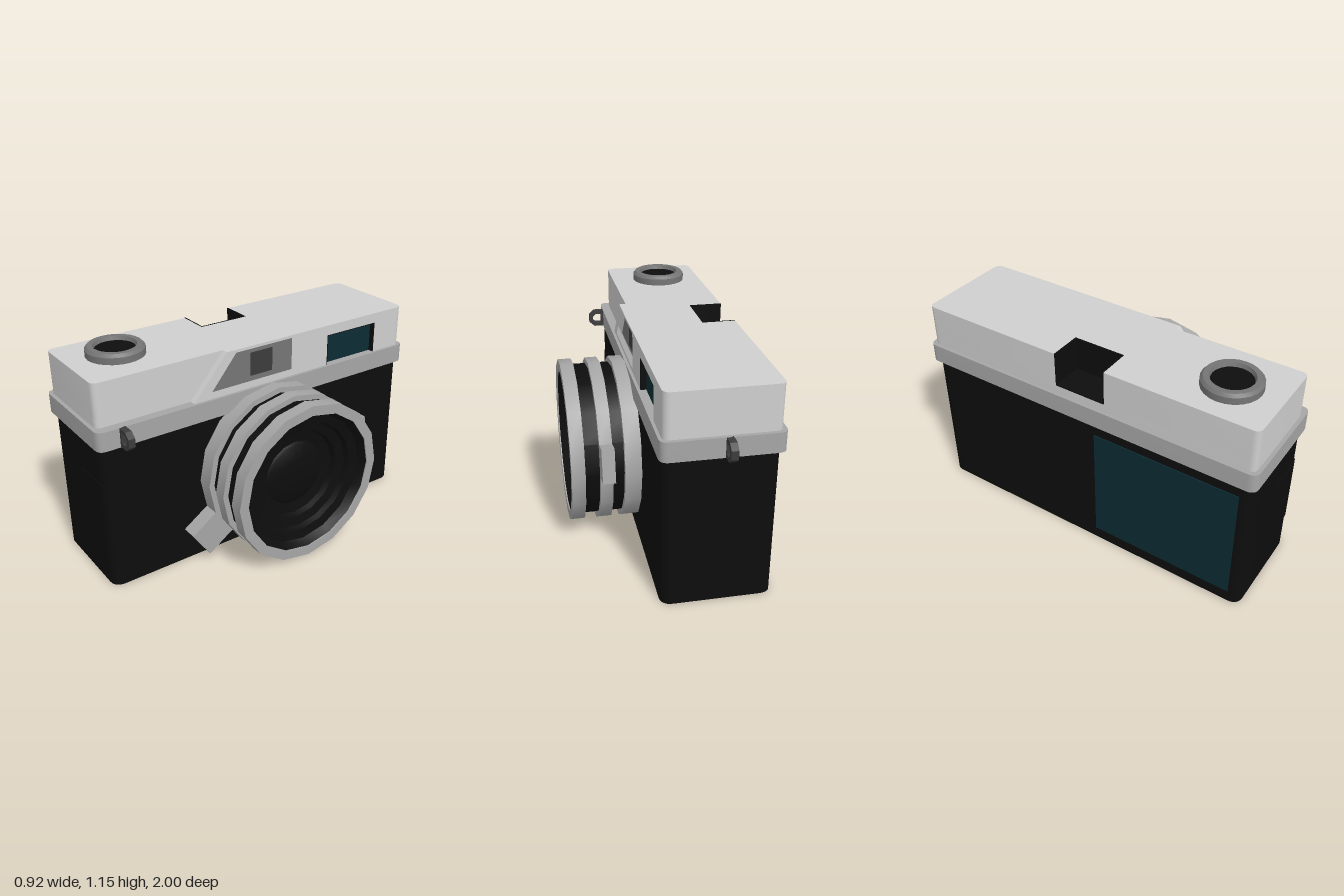
import * as THREE from 'three';
import { toCreasedNormals } from 'three/addons/utils/BufferGeometryUtils.js';

const material = (name, color, side = THREE.FrontSide) => {
  const m = new THREE.MeshStandardMaterial({ color, side });
  m.name = name;
  return m;
};

// Closed shape from [x, y, cornerRadius] points
function roundedShape(points, Type = THREE.Shape) {
  const s = new Type();
  const n = points.length;
  points.forEach(([x, y, r = 0], i) => {
    const toward = ([px, py]) => {
      const d = Math.hypot(px - x, py - y);
      return [x + ((px - x) / d) * r, y + ((py - y) / d) * r];
    };
    const a = toward(points[(i + n - 1) % n]);
    const b = toward(points[(i + 1) % n]);
    if (i === 0) s.moveTo(...a); else s.lineTo(...a);
    if (r) s.quadraticCurveTo(x, y, ...b);
  });
  s.closePath();
  return s;
}

const extrude = (shape, depth) =>
  new THREE.ExtrudeGeometry(shape, { depth, bevelEnabled: false, curveSegments: 6 });

// Plan outline given as [x, z, radius], raised from y0 to y1
function plan(points, y0, y1) {
  const shape = roundedShape(points.map(([x, z, r]) => [x, -z, r]));
  const g = extrude(shape, y1 - y0).rotateX(-Math.PI / 2).translate(0, y0, 0);
  return toCreasedNormals(g, 0.6);
}

// Front elevation given as [z, y], thickened from x0 to x1
function elevation(points, x0, x1, holes = []) {
  const flip = (list) => list.map(([z, y, r]) => [-z, y, r]);
  const shape = roundedShape(flip(points));
  holes.forEach((h) => shape.holes.push(roundedShape(flip(h), THREE.Path)));
  return extrude(shape, x1 - x0).rotateY(Math.PI / 2).translate(x0, 0, 0);
}

const rect = (x0, x1, z0, z1, r) => [[x0, z1, r], [x1, z1, r], [x1, z0, r], [x0, z0, r]];

const boxSpan = (x0, x1, y0, y1, z0, z1) =>
  new THREE.BoxGeometry(x1 - x0, y1 - y0, z1 - z0)
    .translate((x0 + x1) / 2, (y0 + y1) / 2, (z0 + z1) / 2);

const lathe = (points, sides) =>
  toCreasedNormals(new THREE.LatheGeometry(points.map((p) => new THREE.Vector2(...p)), sides), 0.6);

export function createModel() {
  const silver = material('light silver', 0xcfcfcf);
  const metal = material('grey metal', 0xa6a6a6);
  const grey = material('mid grey', 0x757575, THREE.DoubleSide);
  const dark = material('dark grey', 0x3c3c3c);
  const black = material('black', 0x0d0d0d, THREE.DoubleSide);
  const glass = material('dark teal glass', 0x0c2c33);

  const group = new THREE.Group();
  const add = (name, geometry, mat, parent = group) => {
    const mesh = new THREE.Mesh(geometry, mat);
    mesh.name = name;
    parent.add(mesh);
    return mesh;
  };

  // Body, trim band and corner grip
  add('body', plan(rect(-0.44, 0.105, -0.9, 0.98, 0.06), 0, 0.79), black);
  add('trimBand', plan(rect(-0.46, 0.12, -0.92, 1.0, 0.045), 0.78, 0.88), metal);
  add('cornerGrip', plan([[-0.15, 0.984], [0.109, 0.984, 0.06], [0.109, 0.7], [0.05, 0.7],
    [0.05, 0.93], [-0.15, 0.93]], 0.21, 0.58), black);
  add('rearScreen', boxSpan(-0.445, -0.438, 0.07, 0.71, 0.13, 0.92), glass);

  // Top housing with a notch cut in the rear edge
  const top = 1.105, floor = 0.925;
  const corners = [[-0.44, 0.98, 0.035], [0.07, 0.98, 0.035], [0.07, -0.9], [-0.44, -0.9, 0.035]];
  const notch = [[-0.44, -0.09], [-0.27, -0.09], [-0.27, 0.19], [-0.44, 0.19]];
  add('housingLower', plan(corners, 0.88, floor), silver);
  add('housingUpper', plan([...corners, ...notch], floor, top), silver);
  add('notchFloor', boxSpan(-0.442, -0.27, floor - 0.002, floor + 0.004, -0.09, 0.19), black);
  add('notchFront', boxSpan(-0.275, -0.268, floor, top + 0.001, -0.09, 0.19), black);
  for (const z of [-0.088, 0.188]) {
    add('notchSide', boxSpan(-0.441, -0.27, floor, top + 0.001, z - 0.003, z + 0.003), black);
  }

  // Raised front panel with a slanted end and two recesses
  const recess = [[0.385, 0.9], [0.225, 1.09], [-0.145, 1.09], [-0.145, 0.9]];
  add('frontPanel', elevation([[0.475, 0.88], [0.28, top], [-0.865, top], [-0.865, 0.88],
    [-0.7, 0.88], [-0.7, 1.05], [-0.36, 1.05], [-0.36, 0.88]], 0.07, 0.105, [recess]), silver);
  add('frontPanelCorner', new THREE.CylinderGeometry(0.035, 0.035, top - 0.88, 8, 1, false,
    Math.PI / 2, Math.PI / 2).translate(0.07, (top + 0.88) / 2, -0.865), silver);
  add('viewfinderRecess', elevation(recess, 0.069, 0.074), grey);
  add('viewfinderWindow', boxSpan(0.072, 0.078, 0.93, 1.055, -0.015, 0.12), dark);
  add('flashGlass', boxSpan(0.069, 0.075, 0.88, 1.05, -0.7, -0.36), glass);
  add('flashFrameTop', boxSpan(0.07, 0.104, 1.046, 1.051, -0.7, -0.36), black);
  for (const z of [-0.698, -0.362]) {
    add('flashFrameSide', boxSpan(0.07, 0.104, 0.88, 1.05, z - 0.003, z + 0.003), black);
  }

  // Shutter button
  const button = new THREE.Group();
  button.name = 'shutterButton';
  button.position.set(-0.2, top, 0.725);
  add('buttonRim', lathe([[0.148, 0], [0.148, 0.035], [0.135, 0.05], [0.108, 0.05], [0.1, 0.025]], 24),
    grey, button);
  add('buttonCap', new THREE.CylinderGeometry(0.102, 0.102, 0.03, 24).translate(0, 0.015, 0), black, button);
  group.add(button);

  // Lens, turned about its own axis and laid along +x
  const lens = new THREE.Group();
  lens.name = 'lens';
  lens.position.set(0, 0.442, 0.02);
  lens.rotation.z = -Math.PI / 2;
  add('lensBarrel', lathe([[0.408, 0.1], [0.408, 0.42], [0.386, 0.455], [0.36, 0.41], [0.31, 0.4],
    [0.3, 0.37], [0.25, 0.36], [0.24, 0.33], [0.18, 0.32], [0.165, 0.33], [0.09, 0.345], [0, 0.35]], 16),
  black, lens);
  for (const [name, x0, x1] of [['rearRing', 0.1, 0.19], ['focusRing', 0.25, 0.315], ['frontRing', 0.39, 0.46]]) {
    add(name, lathe([[0.385, x0], [0.438, x0], [0.438, x1], [0.385, x1], [0.385, x0]], 16), metal, lens);
  }
  group.add(lens);

  // Levers that stick out from the lens rings: outer end, angle, depth span
  for (const [name, reach, angle, x0, x1] of [
    ['apertureLever', 0.595, -0.588, 0.105, 0.19],
    ['focusLever', 0.512, Math.PI - 0.187, 0.25, 0.315]]) {
    const lever = add(name, boxSpan(x0, x1, -0.088, 0.088, 0.4, reach), metal);
    lever.position.set(0, 0.442, 0.02);
    lever.rotation.x = -angle;
  }

  // Strap lugs
  const lugShape = roundedShape([[0, -0.048], [0.06, -0.048], [0.09, -0.022], [0.09, 0.022],
    [0.06, 0.048], [0, 0.048]]);
  lugShape.holes.push(roundedShape([[0.018, -0.027], [0.018, 0.027], [0.052, 0.027],
    [0.068, 0.014], [0.068, -0.014], [0.052, -0.027]], THREE.Path));
  const lugGeometry = extrude(lugShape, 0.034).translate(0, 0, -0.017);
  add('frontLug', lugGeometry, dark).position.set(0.115, 0.832, 0.87);
  const sideLug = add('sideLug', lugGeometry, dark);
  sideLug.position.set(-0.19, 0.832, -0.91);
  sideLug.rotation.y = Math.PI / 2;

  return group;
}
